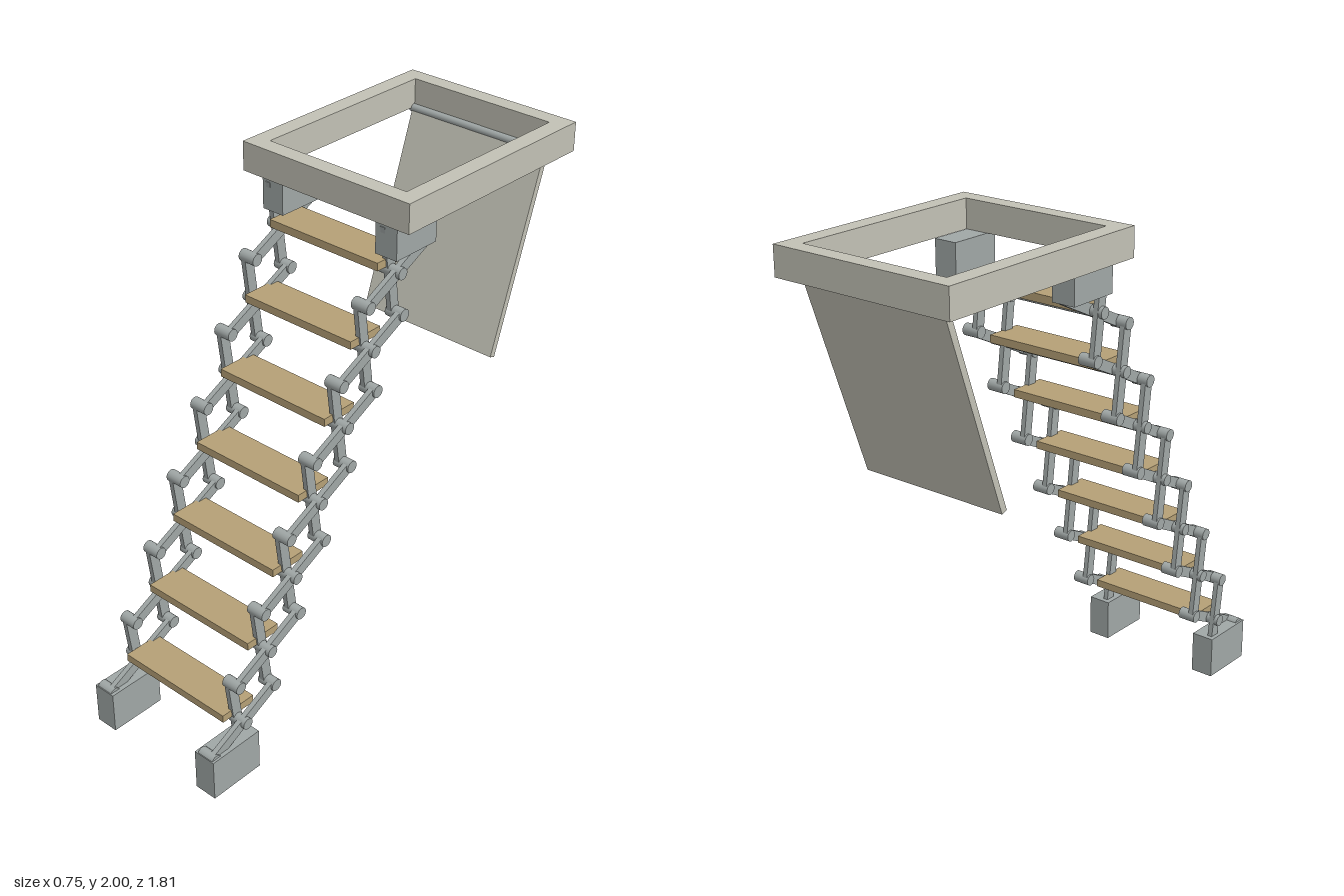
import * as THREE from 'three';

const mat = (color) => new THREE.MeshStandardMaterial({ color });

export function createModel() {
  const model = new THREE.Group();
  const metal = mat(0xa0a7a6), wood = mat(0xb5a076), painted = mat(0xc2c1b5);

  const add = (name, geometry, material, x, y, z) => {
    const mesh = new THREE.Mesh(geometry, material);
    mesh.name = name;
    mesh.position.set(x, y, z);
    model.add(mesh);
    return mesh;
  };
  const box = (name, material, w, h, d, x, y, z) =>
    add(name, new THREE.BoxGeometry(w, h, d), material, x, y, z);
  const rod = (name, r, length, x, y, z) =>
    add(name, new THREE.CylinderGeometry(r, r, length, 20).rotateZ(Math.PI / 2), metal, x, y, z);
  // flat link between two (z, y) points
  const link = (name, x, a, b, width, thick) => {
    const dz = b[0] - a[0], dy = b[1] - a[1];
    const bar = box(name, metal, thick, width, Math.hypot(dz, dy), x, (a[1] + b[1]) / 2, (a[0] + b[0]) / 2);
    bar.rotation.x = -Math.atan2(dy, dz);
    return bar;
  };

  // hatch frame: a rectangular ring
  const ring = new THREE.Shape([[-0.375, -0.005], [0.375, -0.005], [0.375, 0.905], [-0.375, 0.905]]
    .map((p) => new THREE.Vector2(...p)));
  ring.holes.push(new THREE.Path([[-0.307, 0.06], [-0.307, 0.84], [0.307, 0.84], [0.307, 0.06]]
    .map((p) => new THREE.Vector2(...p))));
  const frame = new THREE.ExtrudeGeometry(ring, { depth: 0.11, bevelEnabled: false }).rotateX(-Math.PI / 2);
  add('hatchFrame', frame, painted, 0, 1.89, 0);

  // hatch door hanging open from its hinge rod
  const top = [-0.838, 1.888], low = [-0.585, 1.152];
  const door = link('hatchDoor', 0, top, low, 0.025, 0.61);
  door.material = painted;
  rod('doorHinge', 0.015, 0.635, 0, 1.888, -0.835);

  // feet and upper brackets
  for (const s of [-1, 1]) {
    box('foot', metal, 0.092, 0.165, 0.226, s * 0.26, 0.0825, 0.792);
    box('topBracket', metal, 0.094, 0.13, 0.206, s * 0.259, 1.825, -0.122);
  }

  // (z, y) pivots of the scissor linkage at level i
  const at = (z, y) => (i) => [z - 0.131 * i, y + 0.245 * i];
  const centre = at(0.73, 0.23), front = at(0.75, 0.4), back = at(0.575, 0.305);

  for (let i = 0; i < 7; i++) {
    // tread and its cross rod
    const [cz, cy] = centre(i);
    rod('crossRod', 0.022, 0.61, 0, cy, cz);
    box('tread', wood, 0.495, 0.03, 0.15, 0, cy + 0.03, cz - 0.01);
    // crossing links on both sides
    for (const x of [-0.262, 0.262]) {
      link('steepLink', x - 0.018, back(i - 1), front(i), 0.04, 0.02);
      link('shallowLink', x + 0.018, front(i - 1), back(i), 0.04, 0.02);
      const pins = i < 6 ? [front(i - 1), back(i)] : [front(i - 1)];
      for (const [z, y] of pins) rod('pivotPin', 0.023, 0.07, x, y, z);
    }
  }
  return model;
}
